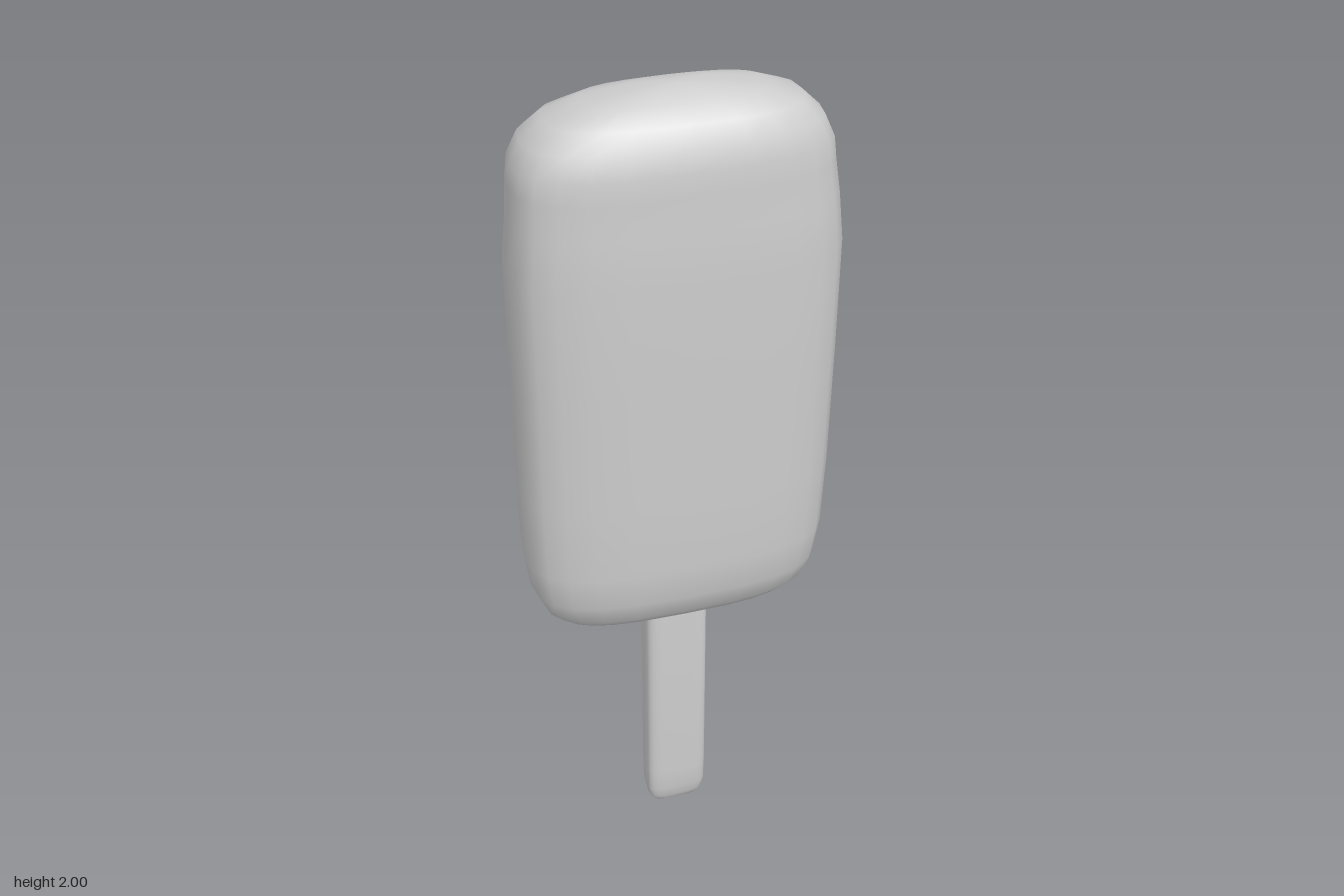
import * as THREE from 'three';

// Closed loft through rounded sections [y, halfWidth, halfDepth, xShift], bottom to top
function loft(sections, exponent, sides) {
  const pos = [], idx = [];
  const rounded = (v) => Math.sign(v) * Math.abs(v) ** (2 / exponent);
  for (const [y, hx, hz, dx = 0] of sections) {
    for (let j = 0; j < sides; j++) {
      const a = (j / sides) * Math.PI * 2;
      pos.push(dx + hx * rounded(Math.cos(a)), y, hz * rounded(Math.sin(a)));
    }
  }
  for (let i = 0; i < sections.length - 1; i++) {
    for (let j = 0; j < sides; j++) {
      const k = (j + 1) % sides;
      const a = i * sides + j, b = i * sides + k;
      idx.push(a, a + sides, b, b, a + sides, b + sides);
    }
  }
  // End caps
  const last = (sections.length - 1) * sides;
  const bottom = pos.length / 3, top = bottom + 1;
  const first = sections[0], end = sections[sections.length - 1];
  pos.push(first[3] ?? 0, first[0], 0, end[3] ?? 0, end[0], 0);
  for (let j = 0; j < sides; j++) {
    const k = (j + 1) % sides;
    idx.push(bottom, j, k, top, last + k, last + j);
  }
  const geo = new THREE.BufferGeometry();
  geo.setAttribute('position', new THREE.Float32BufferAttribute(pos, 3));
  geo.setIndex(idx);
  geo.computeVertexNormals();
  return geo;
}

export function createModel() {
  const group = new THREE.Group();
  group.name = 'iceLolly';
  const grey = new THREE.MeshStandardMaterial({ color: 0xcccccc });
  grey.name = 'pale grey';

  const add = (name, geometry) => {
    const mesh = new THREE.Mesh(geometry, grey);
    mesh.name = name;
    group.add(mesh);
  };

  // Pillow-like bar with a soft shoulder below its domed top
  add('iceBar', loft([
    [0.65, 0.14, 0.02],
    [0.657, 0.225, 0.05],
    [0.68, 0.285, 0.095],
    [0.72, 0.325, 0.133, -0.003],
    [0.78, 0.35, 0.157, -0.005],
    [0.87, 0.363, 0.167, -0.005],
    [1.05, 0.369, 0.169, -0.003],
    [1.35, 0.371, 0.17],
    [1.62, 0.373, 0.17],
    [1.73, 0.362, 0.162],
    [1.81, 0.354, 0.157, -0.004],
    [1.86, 0.348, 0.155, -0.004],
    [1.91, 0.325, 0.142, -0.003],
    [1.95, 0.28, 0.118],
    [1.98, 0.2, 0.08],
    [1.995, 0.1, 0.045],
    [2.0, 0.03, 0.015],
  ], 2.9, 24));

  // Flat stick with a narrowed lower end
  add('stick', loft([
    [0, 0.045, 0.018],
    [0.004, 0.058, 0.026],
    [0.02, 0.07, 0.032],
    [0.055, 0.077, 0.042],
    [0.12, 0.078, 0.045],
    [0.72, 0.078, 0.045],
  ], 4, 24));

  return group;
}
